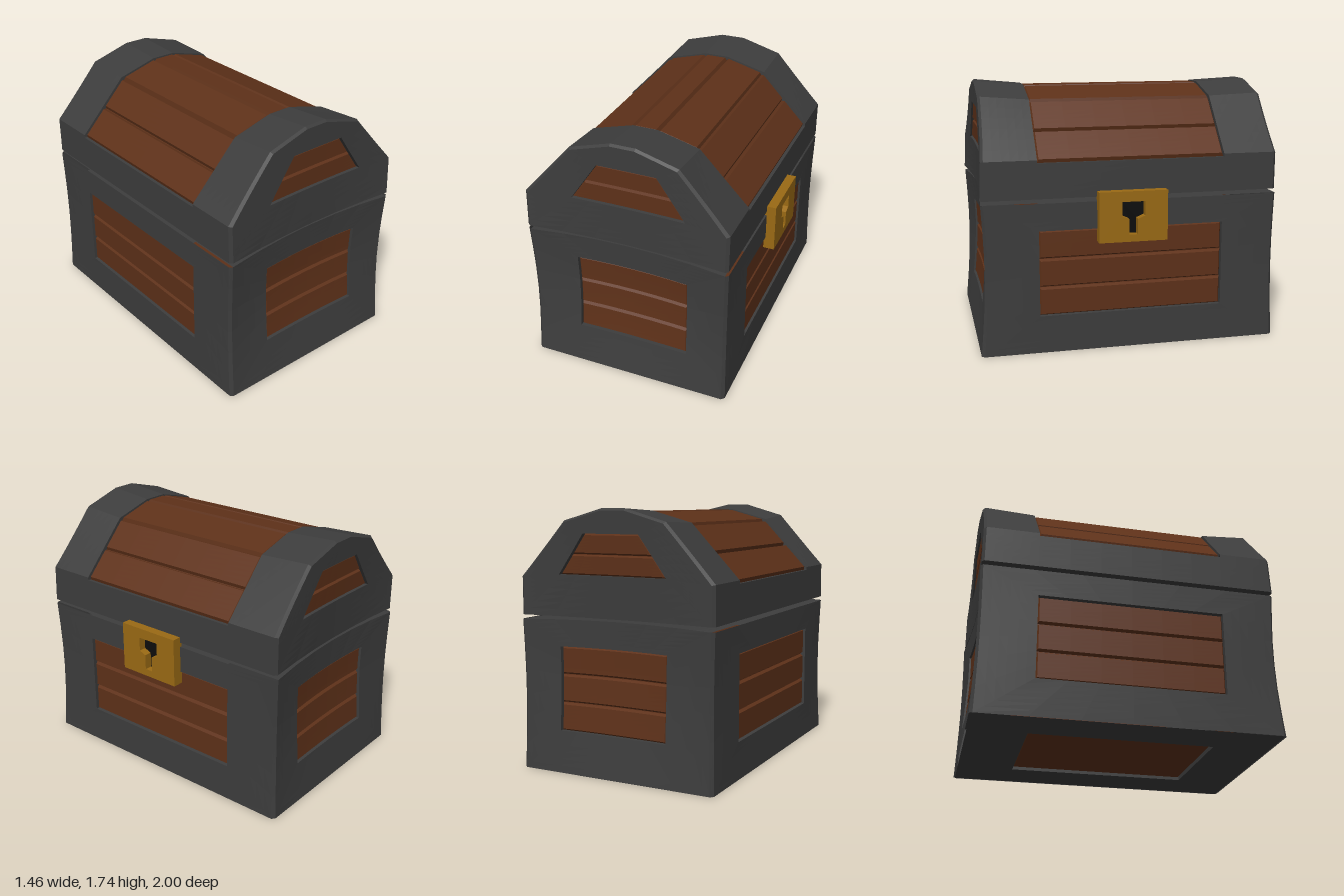
import * as THREE from 'three';

const V = (x, y, z) => new THREE.Vector3(x, y, z);
const mix = (a, b, t) => a.clone().lerp(b, t);
const mat = (color) => new THREE.MeshStandardMaterial({ color, flatShading: true, side: THREE.DoubleSide });
const SEG = 6;
const H = 0.6975; // half width of the chest
const BAND = 0.62; // inner edge of the end bands
const turned = (q, s) => q.map((p) => V(p.x * s, p.y, p.z * s)); // half turn about y when s = -1

// Subdivided four-cornered patch, corners counter-clockwise from outside
function quad(out, a, b, c, d) {
  const at = (i, j) => mix(mix(a, b, i / SEG), mix(d, c, i / SEG), j / SEG);
  for (let i = 0; i < SEG; i++) for (let j = 0; j < SEG; j++) {
    out.push(at(i, j), at(i + 1, j), at(i + 1, j + 1));
    out.push(at(i, j), at(i + 1, j + 1), at(i, j + 1));
  }
}

const normalOf = (q) => q[1].clone().sub(q[0]).cross(q[3].clone().sub(q[0])).normalize();

// Raised board with bevelled edges
function board(out, q, h) {
  const n = normalOf(q).multiplyScalar(h), e = 0.012;
  const top = q.map((p, i) => {
    const u = q[(i + 1) % 4].clone().sub(p).setLength(e);
    const v = q[(i + 3) % 4].clone().sub(p).setLength(e);
    return p.clone().add(u).add(v).add(n);
  });
  quad(out, ...top);
  q.forEach((p, i) => quad(out, p, q[(i + 1) % 4], top[(i + 1) % 4], top[i]));
}

// Backing sheet plus a stack of boards running from a-b up to d-c
function boards(out, q, count, h) {
  const [a, b, c, d] = q, gap = 0.004;
  quad(out, a, b, c, d);
  for (let i = 0; i < count; i++) {
    const t0 = i / count + (i ? gap : 0), t1 = (i + 1) / count - (i < count - 1 ? gap : 0);
    board(out, [mix(a, d, t0), mix(b, c, t0), mix(b, c, t1), mix(a, d, t1)], h);
  }
}

// Recessed opening filled with boards
function recess(frame, wood, q, count, depth, h) {
  const n = normalOf(q).multiplyScalar(-depth);
  const floor = q.map((p) => p.clone().add(n));
  q.forEach((p, i) => quad(frame, p, q[(i + 1) % 4], floor[(i + 1) % 4], floor[i]));
  boards(wood, floor, count, h);
}

function framedWall(frame, wood, o, q, count, depth, h) {
  o.forEach((p, i) => quad(frame, p, o[(i + 1) % 4], q[(i + 1) % 4], q[i]));
  recess(frame, wood, q, count, depth, h);
}

function makeMesh(name, points, material, warp) {
  points.forEach(warp);
  const g = new THREE.BufferGeometry().setFromPoints(points);
  g.computeVertexNormals();
  const m = new THREE.Mesh(g, material);
  m.name = name;
  return m;
}

// 0 between the bands, rising to 1 at the ends; and 1 at mid width, falling to 0 at the corners
const endWeight = (z) => Math.max(0, (Math.abs(z) - BAND) / (1 - BAND));
const bow = (x) => 1 - Math.min(1, (x / H) ** 2);

// Body: walls pinched at mid height, ends bowed inwards
function warpBody(p) {
  const { x, y, z } = p, u = bow(x), e = endWeight(z);
  const s = Math.sin(Math.PI * Math.min(1, Math.max(0, y)));
  const pinch = (z > 0 ? 1 : 0.4) * (0.025 * s + 0.015 * y);
  p.x = x * (1 - 0.015 * s * e);
  p.z = z * (1 - e * (pinch + 0.045 * u * Math.min(1, y * 1.5)));
  p.y = y * (1 + 0.015 * u * e);
}

// Lid: ends bowed, front leaning in, end bands flaring upwards
function warpLid(p) {
  const { x, y, z } = p, t = (y - 1.03) / 0.7, e = endWeight(z);
  const lean = z > 0 ? 0.012 + 0.033 * t : 0.012;
  p.z = z * (1 - e * (lean + 0.04 * bow(x) * (1 - t)));
  p.y = y + (z > 0 ? 0.032 : 0.018) * e * Math.max(0, (y - 1.28) / 0.425);
}

function makeBody(iron, timber) {
  const frame = [], wood = [], w = H - 0.02;
  for (const s of [1, -1]) {
    const dx = 0.025 * s;
    const rect = (x0, x1, y0, y1, z) => turned([V(x0, y0, z), V(x1, y0, z), V(x1, y1, z), V(x0, y1, z)], s);
    const side = (r, y0, y1) => turned([V(H, y0, r), V(H, y0, -r), V(H, y1, -r), V(H, y1, r)], s);
    framedWall(frame, wood, rect(-w, w, 0, 1, 1), rect(dx - 0.392, dx + 0.392, 0.275, 0.825, 1), 3, 0.035, 0.022);
    framedWall(frame, wood, side(0.98, 0, 1), side(0.615, 0.25, 0.82), 3, 0.035, 0.022);
    // chamfered corners
    quad(frame, ...turned([V(w, 0, 1), V(H, 0, 0.98), V(H, 1, 0.98), V(w, 1, 1)], s));
    quad(frame, ...turned([V(H, 0, -0.98), V(w, 0, -1), V(w, 1, -1), V(H, 1, -0.98)], s));
    // top of the body, in end and middle strips that follow the bowed walls
    quad(frame, ...turned([V(-w, 1, 1), V(w, 1, 1), V(w, 1, BAND), V(-w, 1, BAND)], s));
  }
  quad(frame, V(-H, 1, BAND), V(H, 1, BAND), V(H, 1, -BAND), V(-H, 1, -BAND));
  const base = (x, z) => [V(-x, 0, -z), V(x, 0, -z), V(x, 0, z), V(-x, 0, z)];
  framedWall(frame, wood, base(0.69, 0.99), base(0.39, 0.61), 1, 0.03, 0.012);
  const g = new THREE.Group();
  g.name = 'body';
  g.add(makeMesh('bodyFrame', frame, iron, warpBody), makeMesh('bodyPlanks', wood, timber, warpBody));
  return g;
}

function makeLid(iron, timber) {
  const frame = [], wood = [], B = BAND;
  // outer profile of the iron bands and the lower profile under the boards
  const P = [[-H, 1.03], [H, 1.03], [H, 1.28], [0.365, 1.63], [0.085, 1.705], [-0.085, 1.705], [-0.365, 1.63], [-H, 1.28]];
  const W = [null, null, [0.675, 1.26], [0.345, 1.606], [0.08, 1.678], [-0.08, 1.678], [-0.345, 1.606], [-0.675, 1.26]];
  const E = P.map(([x, y]) => [x * 0.972, 1.03 + (y - 1.03) * 0.98]);
  const at = (p, z) => V(p[0], p[1], z);
  for (const s of [1, -1]) {
    const add = (...q) => quad(frame, ...turned(q, s));
    for (let k = 0; k < 8; k++) {
      const n = (k + 1) % 8;
      add(at(P[k], 0.98), at(P[n], 0.98), at(E[n], 1), at(E[k], 1)); // bevelled rim
      if (k > 0) add(at(P[k], 0.98), at(P[k], B), at(P[n], B), at(P[n], 0.98)); // band
      if (k > 1 && k < 7) add(at(P[k], B), at(W[k], B), at(W[k + 1], B), at(P[k + 1], B)); // band edge
    }
    // end wall around a trapezoid opening
    const dx = 0.02 * s;
    const I = [[-0.388 + dx, 1.3], [0.388 + dx, 1.3], [0.2 + dx, 1.553], [-0.2 + dx, 1.553]].map((p) => at(p, 1));
    const e = E.map((p) => at(p, 1));
    add(e[0], e[1], I[1], I[0]);
    add(e[1], e[2], I[1], I[1]);
    add(e[2], e[3], I[2], I[1]);
    add(e[3], e[4], I[2], I[2]);
    add(e[4], e[5], I[3], I[2]);
    add(e[5], e[6], I[3], I[3]);
    add(e[6], e[7], I[0], I[3]);
    add(e[7], e[0], I[0], I[0]);
    recess(frame, wood, turned(I, s), 2, 0.035, 0.022);
    // long side rail and its sill
    add(V(H, 1.03, B), V(H, 1.03, -B), V(H, 1.26, -B), V(H, 1.26, B));
    add(V(H, 1.26, B), V(H, 1.26, -B), V(0.675, 1.26, -B), V(0.675, 1.26, B));
    // underside of the band
    add(V(-H, 1.03, B), V(H, 1.03, B), V(H, 1.03, 0.98), V(-H, 1.03, 0.98));
  }
  quad(frame, V(-H, 1.03, -B), V(H, 1.03, -B), V(H, 1.03, B), V(-H, 1.03, B));
  // curved top of long boards
  for (let k = 2; k < 7; k++) {
    boards(wood, [at(W[k], B), at(W[k], -B), at(W[k + 1], -B), at(W[k + 1], B)], k === 2 || k === 6 ? 2 : 1, 0.022);
  }
  const g = new THREE.Group();
  g.name = 'lid';
  g.add(makeMesh('lidFrame', frame, iron, warpLid), makeMesh('lidPlanks', wood, timber, warpLid));
  return g;
}

// Lock plate with a keyhole cut through to a dark backing
function makeLock() {
  const g = new THREE.Group();
  g.name = 'lock';
  const path = (pts) => pts.map(([x, y]) => new THREE.Vector2(x, y));
  const plate = new THREE.Shape(path([[-0.228, 0.735], [0.228, 0.735], [0.228, 1.068], [-0.228, 1.068]]));
  const hole = [[-0.077, 1], [-0.077, 0.905], [-0.028, 0.885], [-0.028, 0.783], [0.028, 0.783], [0.028, 0.885], [0.077, 0.905], [0.077, 1]];
  plate.holes.push(new THREE.Path(path(hole)));
  const front = new THREE.Mesh(new THREE.ExtrudeGeometry(plate, { depth: 0.077, bevelEnabled: false }), mat(0x9a6a14));
  front.name = 'lockPlate';
  const back = new THREE.Mesh(new THREE.ShapeGeometry(new THREE.Shape(path(hole))), mat(0x0c0c0c));
  back.name = 'keyhole';
  back.position.z = 0.025;
  g.add(front, back);
  g.rotation.y = Math.PI / 2;
  g.position.set(0.683, 0, 0.007);
  return g;
}

export function createModel() {
  const model = new THREE.Group();
  model.name = 'chest';
  const iron = mat(0x3d3d3d), timber = mat(0x5e3119);
  const chest = new THREE.Group();
  chest.name = 'chestParts';
  chest.position.x = -0.0325;
  chest.add(makeBody(iron, timber), makeLid(iron, timber), makeLock());
  model.add(chest);
  return model;
}
